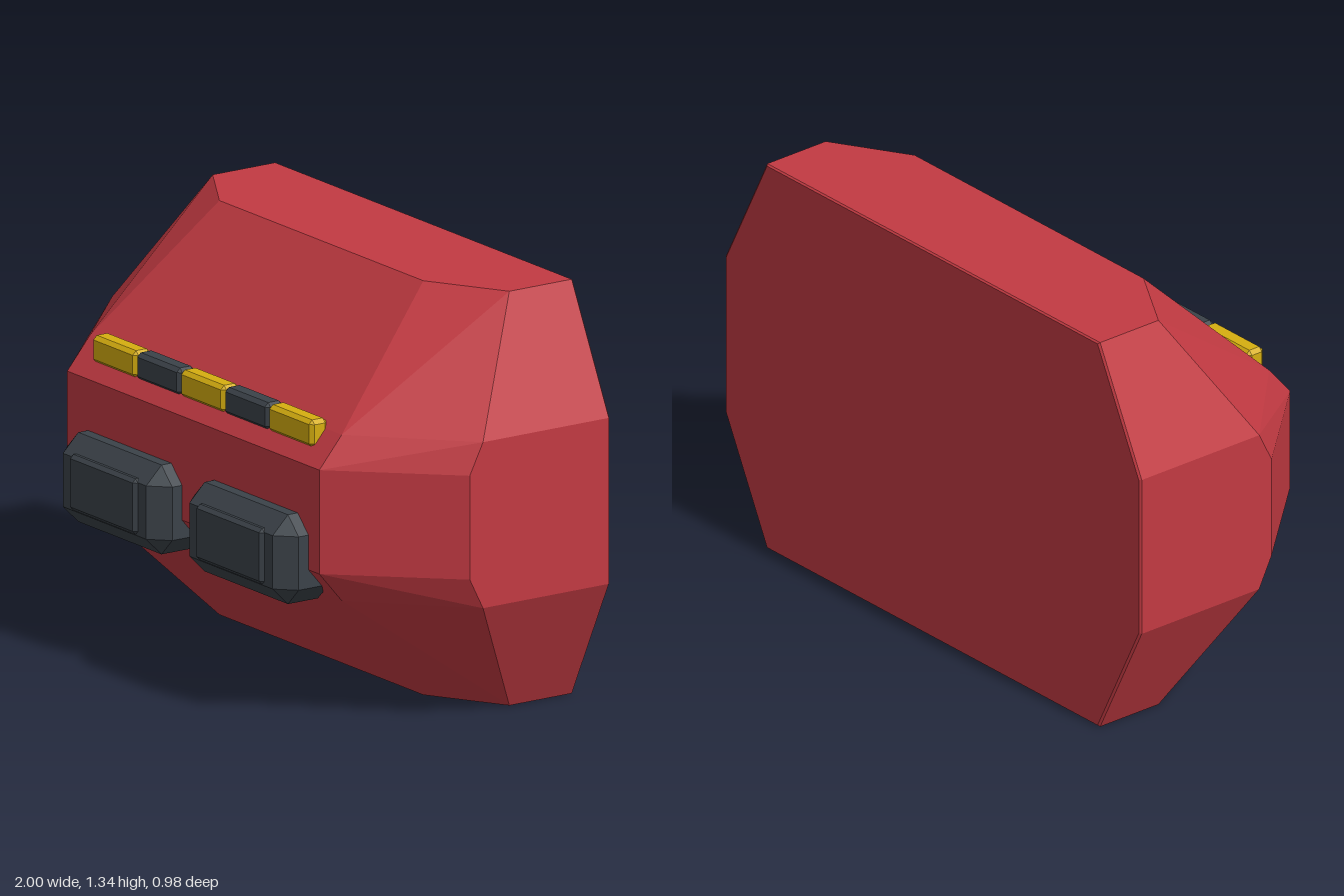
import * as THREE from 'three';
import { ConvexGeometry } from 'three/addons/geometries/ConvexGeometry.js';

const red = new THREE.MeshStandardMaterial({ color: 0xc23a42 });
red.name = 'red';
const yellow = new THREE.MeshStandardMaterial({ color: 0xd6ae10 });
yellow.name = 'yellow';
const charcoal = new THREE.MeshStandardMaterial({ color: 0x3b4249 });
charcoal.name = 'charcoal';

// Faceted solid wrapped around a set of points
function hull(points, material, name) {
  const mesh = new THREE.Mesh(new ConvexGeometry(points), material);
  mesh.name = name;
  return mesh;
}

// Box with every edge and corner cut by c
function chamferBox(w, h, d, c, material, name) {
  const points = [];
  for (const x of [-w / 2, w / 2])
    for (const y of [-h / 2, h / 2])
      for (const z of [-d / 2, d / 2]) {
        const cx = c * Math.sign(x), cy = c * Math.sign(y), cz = c * Math.sign(z);
        points.push(
          new THREE.Vector3(x, y - cy, z - cz),
          new THREE.Vector3(x - cx, y, z - cz),
          new THREE.Vector3(x - cx, y - cy, z)
        );
      }
  return hull(points, material, name);
}

// Body: levels of [y, side x, side z, front x, front z], mirrored left to right
function createBody() {
  const levels = [
    [0, 0.8, -0.25, 0.55, -0.1],
    [0.4, 1, -0.01, 0.68, 0.3],
    [0.5, 1, 0.04, 0.68, 0.385],
    [0.835, 1, 0.04, 0.68, 0.385],
    [0.935, 1, -0.01, 0.68, 0.3],
    [1.335, 0.8, -0.25, 0.55, -0.1]
  ];
  const midY = 1.335 / 2;
  const points = [];
  for (const [y, sx, sz, fx, fz] of levels)
    for (const s of [-1, 1]) {
      points.push(new THREE.Vector3(s * sx, y, sz), new THREE.Vector3(s * fx, y, fz));
      if (sx < 1 || fz < 0.35) {
        // Back outline with a hairline bevel
        points.push(
          new THREE.Vector3(s * sx, y, -0.486),
          new THREE.Vector3(s * sx * 0.993, midY + (y - midY) * 0.993, -0.492)
        );
      }
    }
  return hull(points, red, 'body');
}

export function createModel() {
  const model = new THREE.Group();
  model.name = 'frontBlock';
  model.add(createBody());

  // Striped bar of alternating blocks
  const bar = new THREE.Group();
  bar.name = 'stripedBar';
  for (let i = 0; i < 5; i++) {
    const block = chamferBox(0.238, 0.088, 0.066, 0.013, i % 2 ? charcoal : yellow, 'barBlock');
    block.position.set(-0.477 + i * 0.2375, 0.922, 0.321);
    bar.add(block);
  }
  model.add(bar);

  // Paired bumper pads, each with a raised face
  for (const [x, name] of [[-0.343, 'rightPad'], [0.339, 'leftPad']]) {
    const pad = new THREE.Group();
    pad.name = name;
    pad.add(chamferBox(0.565, 0.288, 0.23, 0.058, charcoal, 'padBlock'));
    const face = chamferBox(0.36, 0.18, 0.1, 0.012, charcoal, 'padFace');
    face.position.set(0, 0.006, 0.077);
    pad.add(face);
    pad.position.set(x, 0.526, 0.365);
    model.add(pad);
  }
  return model;
}
